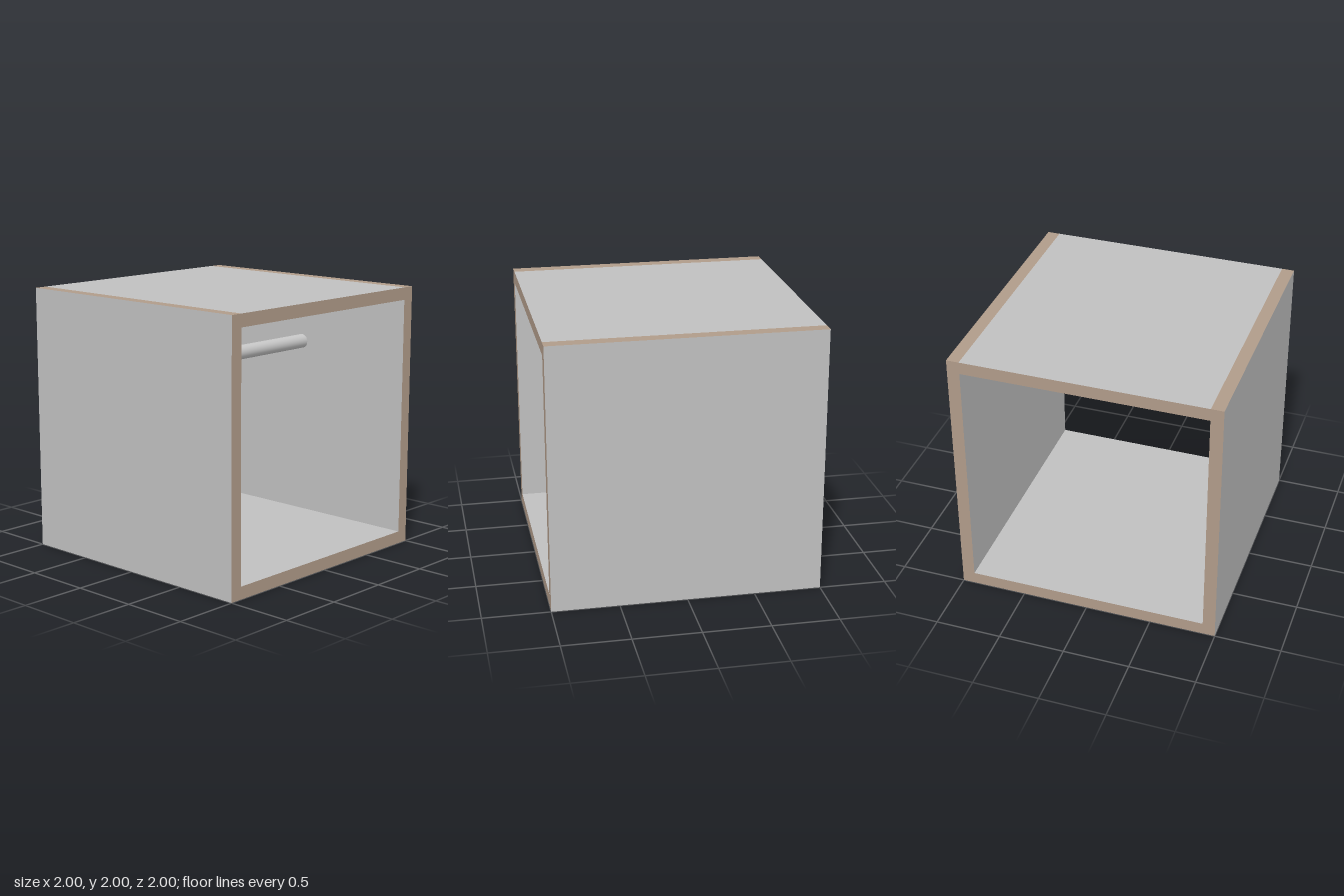
import * as THREE from 'three';

const S = 2;        // outer size
const T = 0.094;    // panel thickness
const IN = S - 2 * T;

export function createModel() {
  const laminate = new THREE.MeshStandardMaterial({ color: 0xc0c0c0 });
  laminate.name = 'grey laminate';
  const edging = new THREE.MeshStandardMaterial({ color: 0xb09b89 });
  edging.name = 'tan edging';
  const metal = new THREE.MeshStandardMaterial({ color: 0xc6c6c6 });
  metal.name = 'rail metal';

  const model = new THREE.Group();
  model.name = 'openCabinet';

  const add = (name, geometry, material, x, y, z) => {
    const mesh = new THREE.Mesh(geometry, material);
    mesh.name = name;
    mesh.position.set(x, y, z);
    model.add(mesh);
    return mesh;
  };

  // Upright panels: grey broad faces (+z, -z), tan edges all round
  const uprightMaterials = [edging, edging, edging, edging, laminate, laminate];
  const upright = new THREE.BoxGeometry(S, S, T);
  add('frontPanel', upright, uprightMaterials, 0, S / 2, S / 2 - T / 2);
  add('backPanel', upright, uprightMaterials, 0, S / 2, -S / 2 + T / 2);

  // Level panels fitted between the uprights: grey faces (+y, -y), tan ends
  const levelMaterials = [edging, edging, laminate, laminate, edging, edging];
  const level = new THREE.BoxGeometry(S, T, IN);
  add('topPanel', level, levelMaterials, 0, S - T / 2, 0);
  add('bottomPanel', level, levelMaterials, 0, T / 2, 0);

  // Small fitting caps under the corners of both level panels
  const cap = new THREE.CylinderGeometry(0.025, 0.025, 0.002, 20);
  for (const y of [0, S - T]) {
    for (const x of [-0.87, 0.87]) {
      for (const z of [-0.8, 0.8]) add('fittingCap', cap, laminate, x, y, z);
    }
  }

  // Hanging rail from front panel to back panel
  const rail = add('hangingRail', new THREE.CylinderGeometry(0.055, 0.055, IN, 40), metal, 0, 1.48, 0);
  rail.rotation.x = Math.PI / 2;

  return model;
}
